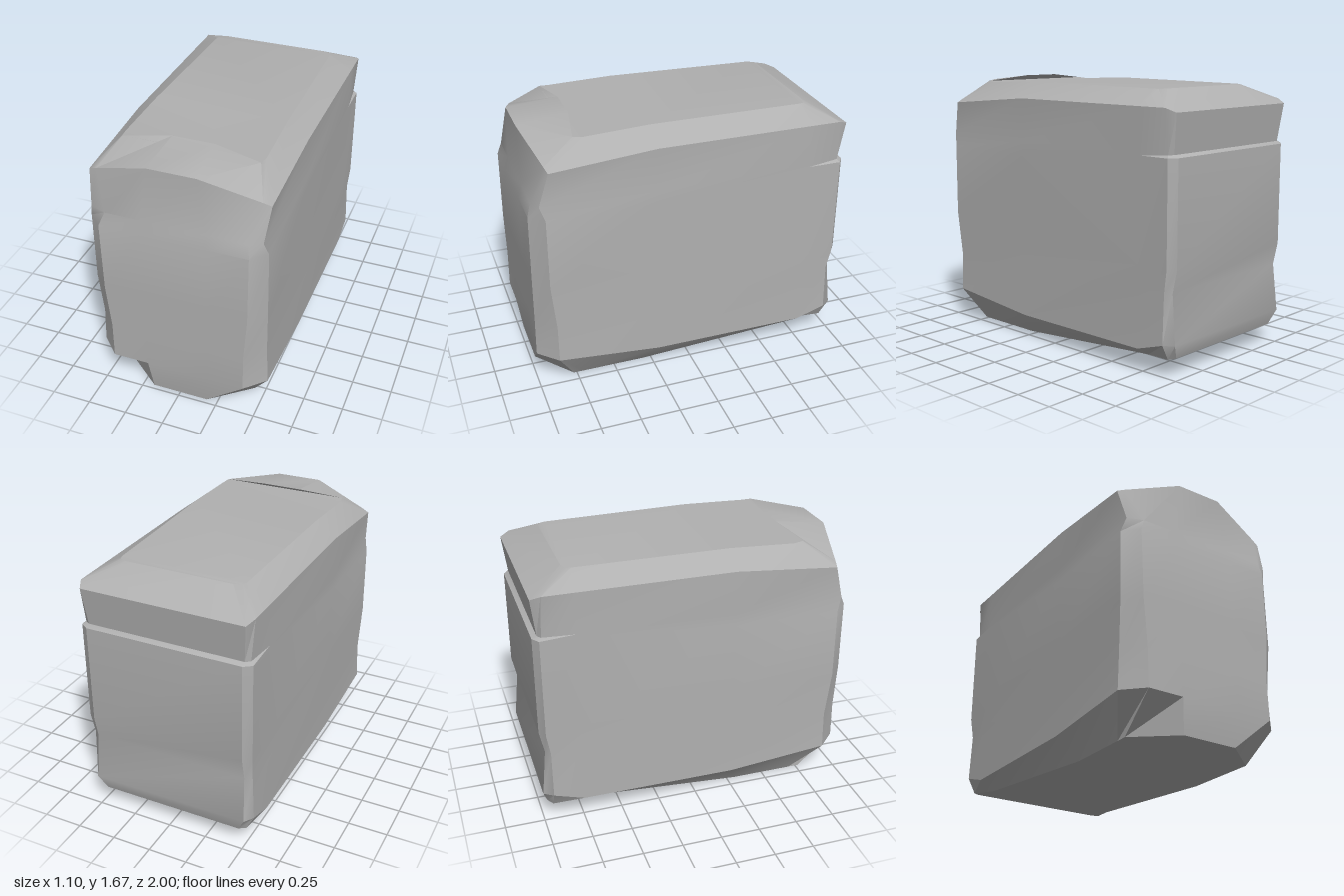
import * as THREE from 'three';
import { toCreasedNormals } from 'three/addons/utils/BufferGeometryUtils.js';

const stone = new THREE.MeshStandardMaterial({ color: 0xb0b0b0 });
stone.name = 'grey stone';

// One half of a ring, from the front middle round the +x side to the back corner.
// front, corner: the front edge; side: [x, y, z] points along the flank; back: rear corner.
const ring = (front, corner, side, back) => [front, corner, ...side, back];

// Middle rings share straight flanks between the front and back corner notches.
const waist = (yf, zf, bx, cx, cz, yb, fx, fz, zb) => ring(
  [0.2, yf, zf], [bx, yf, zf],
  [[cx, yf, cz], [0.55, yf, 0.23], [0.55, yb, -0.75], [fx, yb, fz]],
  [0.5, yb, zb]);

const rings = [
  // underside outline, rising towards the back
  ring([0.18, 0, 0.97], [0.43, 0, 0.77],
    [[0.43, 0, 0.7], [0.43, 0, 0.3], [0.45, 0.09, -0.75], [0.5, 0.115, -0.94]], [0.46, 0.12, -0.97]),
  // lower bevel
  ring([0.2, 0.21, 1], [0.43, 0.21, 1],
    [[0.55, 0.21, 0.88], [0.55, 0.15, 0.23], [0.55, 0.15, -0.75], [0.55, 0.21, -0.94]], [0.51, 0.21, -1]),
  // chipped corners
  waist(0.45, 0.997, 0.43, 0.54, 0.88, 0.51, 0.54, -0.94, -0.97),
  waist(0.75, 1, 0.455, 0.55, 0.91, 0.65, 0.55, -0.965, -1),
  waist(1.2, 0.997, 0.46, 0.548, 0.91, 1.28, 0.55, -0.965, -1),
  waist(1.285, 0.975, 0.45, 0.525, 0.94, 1.295, 0.53, -0.95, -0.97),
  // upper edge, arched at the front
  ring([0.15, 1.64, 0.97], [0.5, 1.52, 0.892],
    [[0.55, 1.5, 0.88], [0.55, 1.555, 0.23], [0.55, 1.555, -0.75], [0.55, 1.555, -0.94]], [0.52, 1.53, -1]),
  // crown
  ring([0.13, 1.675, 0.65], [0.42, 1.645, 0.7],
    [[0.43, 1.64, 0.64], [0.42, 1.655, 0.23], [0.4, 1.645, -0.73], [0.39, 1.643, -0.76]], [0.34, 1.645, -0.78]),
];

function buildBlock() {
  const positions = [], index = [];
  const half = rings[0].length, n = half * 2;
  rings.forEach((r, level) => {
    const left = r.map(([x, y, z]) => [-x, y, z]).reverse();
    if (level === 5) left[half - 2][0] = -0.425; // deeper chip on one side
    positions.push(...r.flat(), ...left.flat());
  });
  const quad = (a, b, c, d) => index.push(a, b, c, a, c, d);
  // walls
  for (let i = 0; i < rings.length - 1; i++) {
    for (let j = 0; j < n; j++) {
      const k = (j + 1) % n;
      quad(i * n + j, i * n + k, (i + 1) * n + k, (i + 1) * n + j);
    }
  }
  // top and underside, bridged from side to side
  const top = (rings.length - 1) * n;
  for (let j = 0; j < half - 1; j++) {
    quad(top + j, top + j + 1, top + n - 2 - j, top + n - 1 - j);
    quad(n - 1 - j, n - 2 - j, j + 1, j);
  }
  const geometry = new THREE.BufferGeometry();
  geometry.setAttribute('position', new THREE.Float32BufferAttribute(positions, 3));
  geometry.setIndex(index);
  return toCreasedNormals(geometry, 0.5);
}

export function createModel() {
  const group = new THREE.Group();
  group.name = 'stoneBlock';
  const block = new THREE.Mesh(buildBlock(), stone);
  block.name = 'weatheredBlock';
  group.add(block);
  return group;
}
